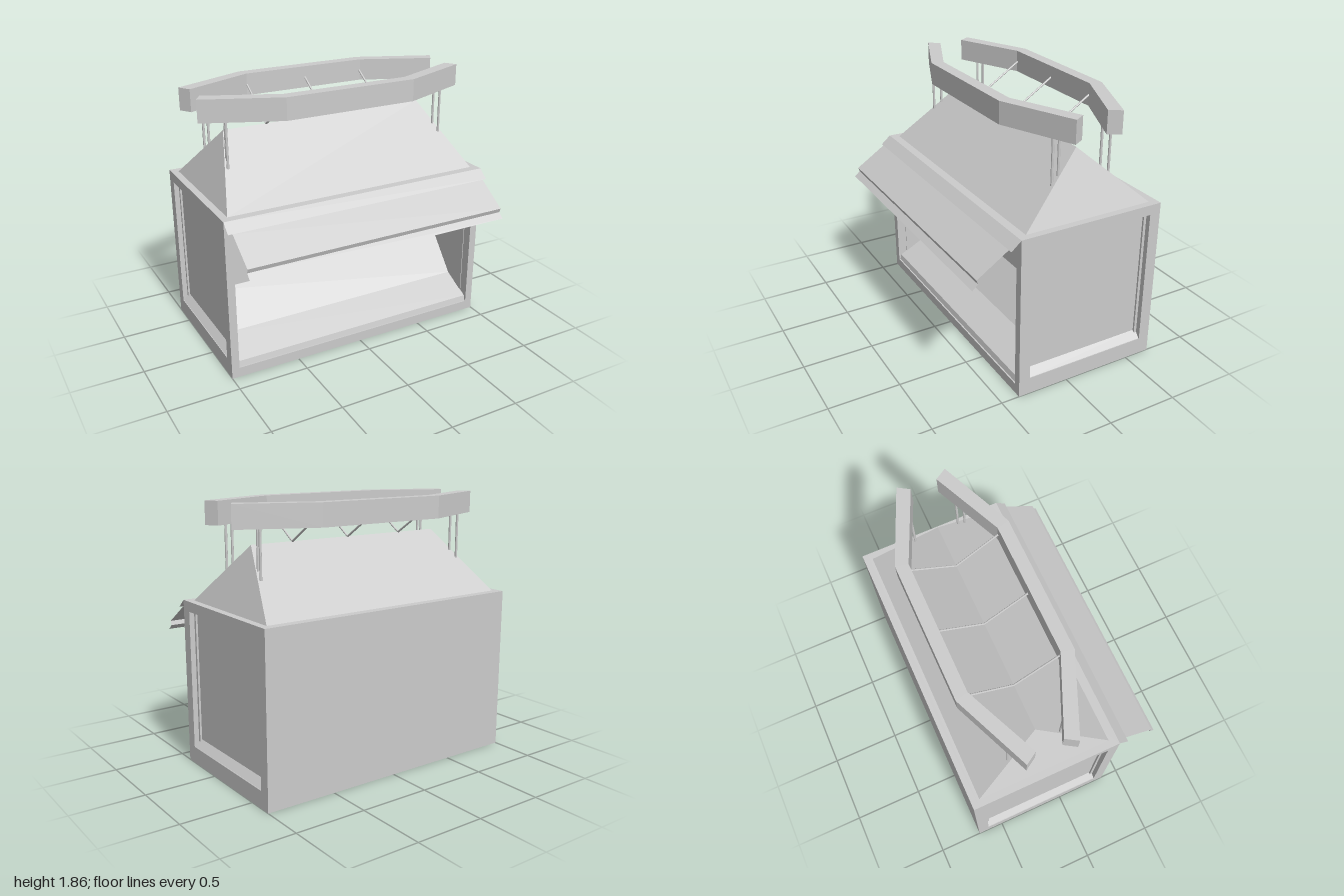
import * as THREE from 'three';

const grey = new THREE.MeshStandardMaterial({ color: 0xcccccc, flatShading: true });
const thin = new THREE.MeshStandardMaterial({ color: 0xcccccc, flatShading: true, side: THREE.DoubleSide });
const ridgeZ = -0.16;

export function createModel() {
  const model = new THREE.Group();

  const add = (name, geometry, material = grey) => {
    const mesh = new THREE.Mesh(geometry, material);
    mesh.name = name;
    model.add(mesh);
    return mesh;
  };

  // Box given by its lower and upper corners
  const box = (name, [x0, y0, z0], [x1, y1, z1]) =>
    add(name, new THREE.BoxGeometry(x1 - x0, y1 - y0, z1 - z0))
      .position.set((x0 + x1) / 2, (y0 + y1) / 2, (z0 + z1) / 2);

  // Round bar between two points
  const rod = (name, from, to, radius) => {
    const a = new THREE.Vector3(...from), b = new THREE.Vector3(...to);
    const mesh = add(name, new THREE.CylinderGeometry(radius, radius, a.distanceTo(b), 10));
    mesh.position.copy(a).add(b).multiplyScalar(0.5);
    mesh.quaternion.setFromUnitVectors(new THREE.Vector3(0, 1, 0), b.sub(a).normalize());
  };

  const triangles = (points) => {
    const geometry = new THREE.BufferGeometry();
    geometry.setAttribute('position', new THREE.Float32BufferAttribute(points.flat(), 3));
    geometry.computeVertexNormals();
    return geometry;
  };

  // Folded sheet: a [z, y] profile swept across the width
  const sheet = (name, profile, w) => {
    const points = [];
    for (let i = 0; i + 1 < profile.length; i++) {
      const [z0, y0] = profile[i], [z1, y1] = profile[i + 1];
      const a = [-w, y0, z0], b = [-w, y1, z1], c = [w, y1, z1], d = [w, y0, z0];
      points.push(a, b, c, a, c, d);
    }
    add(name, triangles(points), thin);
  };

  // Body shell: back, floor, front sill and top rim
  box('backWall', [-1, 0, -0.69], [1, 1.16, -0.65]);
  box('floor', [-0.945, 0.045, -0.65], [0.945, 0.07, 0.31]);
  box('frontSill', [-0.945, 0, 0.31], [0.945, 0.07, 0.37]);
  box('topRim', [-1, 1.1, -0.65], [1, 1.16, 0.37]);

  // Side frames with a recessed panel and sloping sill
  const rect = (shape, u0, v0, u1, v1) =>
    shape.moveTo(u0, v0).lineTo(u1, v0).lineTo(u1, v1).lineTo(u0, v1).closePath();
  const frame = rect(new THREE.Shape(), -0.37, 0, 0.65, 1.1);
  frame.holes.push(rect(new THREE.Path(), -0.29, 0.12, 0.61, 1.09));
  const frameGeometry = new THREE.ExtrudeGeometry(frame, { depth: 0.055, bevelEnabled: false });
  frameGeometry.rotateY(Math.PI / 2);
  const wedge = new THREE.Shape([[0.945, 0.12], [0.995, 0.12], [0.95, 0.17], [0.945, 0.17]]
    .map(([x, y]) => new THREE.Vector2(x, y)));
  for (const s of [-1, 1]) {
    const side = s > 0 ? 'left' : 'right';
    add(side + 'SideFrame', frameGeometry).position.x = s > 0 ? 0.945 : -1;
    const mid = s * 0.945;
    box(side + 'SidePanel', [mid - 0.005, 0.11, -0.62], [mid + 0.005, 1.1, 0.3]);
    const sill = add(side + 'WindowSill',
      new THREE.ExtrudeGeometry(wedge, { depth: 0.9, bevelEnabled: false }));
    sill.rotation.y = s > 0 ? 0 : Math.PI;
    sill.position.z = s > 0 ? -0.61 : 0.29;
    for (const z of [0.28, -0.6]) {
      const x = s * 0.956;
      box(side + 'WindowTrim', [x - 0.008, 0.14, z - 0.01], [x + 0.008, 1.09, z + 0.01]);
    }
  }

  // Stepped display backdrop inside the opening
  sheet('displayBackdrop',
    [[-0.06, 1.1], [-0.06, 0.46], [0.14, 0.22], [0.35, 0.11], [0.36, 0.07]], 0.945);

  // Folding awning over the front
  sheet('awningFlap', [[0.37, 1.16], [0.44, 1.1]], 1);
  sheet('awningPanel', [[0.44, 1.1], [0.66, 0.955], [0.65, 0.925], [0.69, 0.89]], 0.97);

  // Hipped roof
  const fl = [0.95, 1.16, 0.31], fr = [-0.95, 1.16, 0.31];
  const bl = [0.95, 1.16, -0.63], br = [-0.95, 1.16, -0.63];
  const rl = [0.77, 1.575, ridgeZ], rr = [-0.77, 1.575, ridgeZ];
  add('roof', triangles([
    fr, fl, rl, fr, rl, rr,
    bl, br, rr, bl, rr, rl,
    fl, bl, rl, br, fr, rr,
  ]));

  // Bent sign beams, mirrored about the ridge
  const outline = [[-1, 0.17], [-0.48, 0.39], [0.48, 0.39], [1, 0.17],
    [0.95, 0.09], [0.46, 0.305], [-0.46, 0.305], [-0.95, 0.09]];
  const beam = new THREE.ExtrudeGeometry(
    new THREE.Shape(outline.map(([x, d]) => new THREE.Vector2(x, d))),
    { depth: 0.155, bevelEnabled: false });
  beam.rotateX(-Math.PI / 2);
  for (const s of [-1, 1]) {
    const name = s > 0 ? 'front' : 'rear';
    const mesh = add(name + 'Beam', beam);
    mesh.position.set(0, 1.7, ridgeZ);
    mesh.rotation.y = s > 0 ? Math.PI : 0;

    // Diagonal struts from the ridge to the beam
    for (const x of [-0.455, 0, 0.455]) {
      rod(name + 'Strut', [x, 1.575, ridgeZ], [x, 1.775, ridgeZ + s * 0.31], 0.007);
    }
    // Paired posts standing on the roof slope
    for (const x of [-1, 1]) {
      rod(name + 'Post', [x * 0.83, 1.38, ridgeZ + s * 0.215], [x * 0.83, 1.71, ridgeZ + s * 0.215], 0.009);
      rod(name + 'Post', [x * 0.815, 1.43, ridgeZ + s * 0.16], [x * 0.815, 1.71, ridgeZ + s * 0.16], 0.009);
    }
  }

  return model;
}
